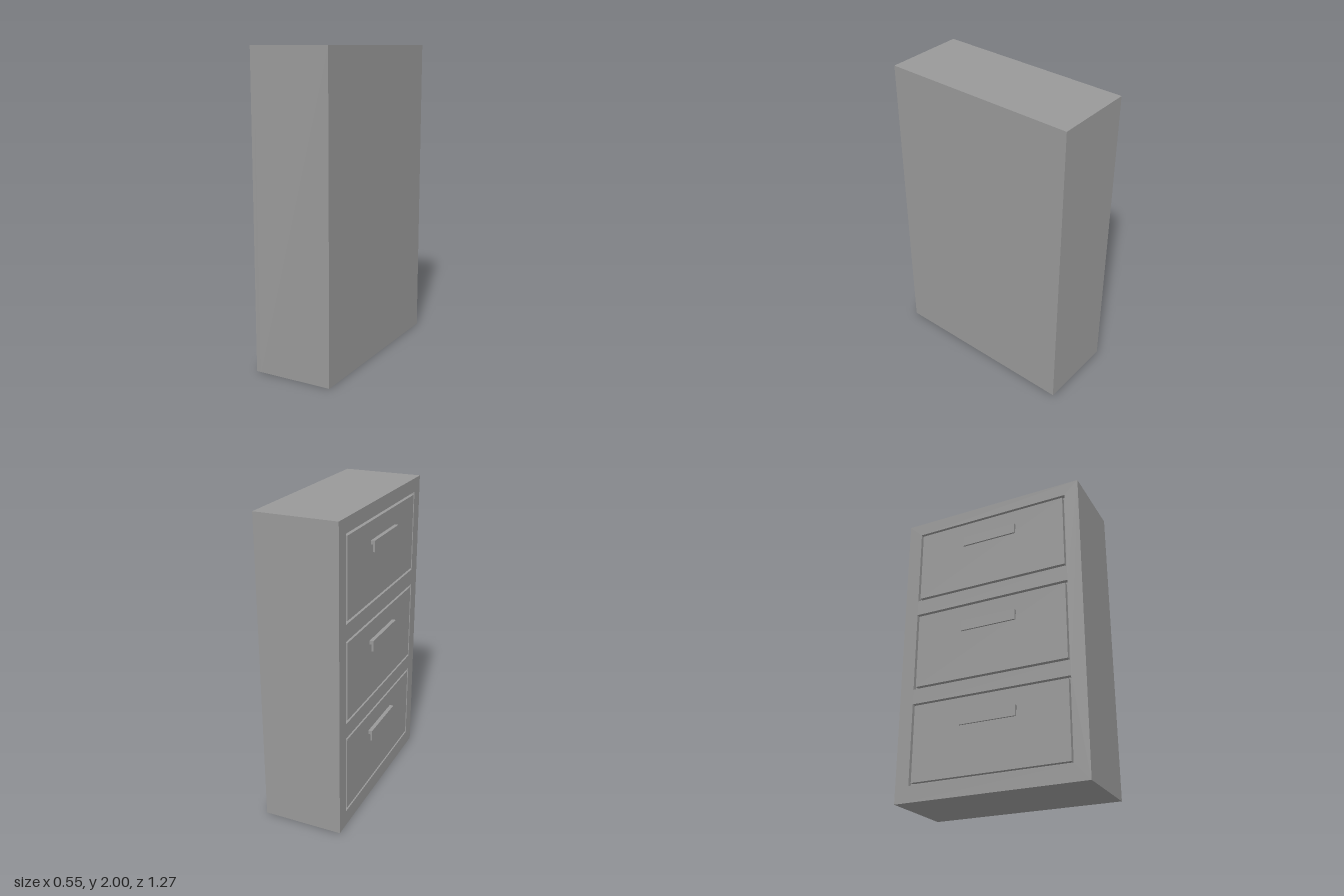
import * as THREE from 'three';

const FACE = -0.25;      // plane of the drawer side
const BACK = 0.273;
const HALF = 0.635;      // half width along z
const GROOVE = 0.03;     // depth of the gap around each drawer
const GAP = 0.016;       // width of that gap
const OPENING = 0.54;    // half width of a drawer opening

// bottom and top of each opening, and top of its handle
const drawers = [
  { y0: 0.105, y1: 0.635, handle: 0.505 },
  { y0: 0.735, y1: 1.275, handle: 1.142 },
  { y0: 1.38, y1: 1.911, handle: 1.78 },
];

function rectangle(path, half, y0, y1) {
  path.moveTo(-half, y0);
  path.lineTo(half, y0);
  path.lineTo(half, y1);
  path.lineTo(-half, y1);
  path.closePath();
  return path;
}

export function createModel() {
  const cabinet = new THREE.Group();
  cabinet.name = 'filingCabinet';
  const greyMetal = new THREE.MeshStandardMaterial({ color: 0x999999 });
  greyMetal.name = 'greyMetal';

  // box between two corners
  function addBox(parent, name, [x0, y0, z0], [x1, y1, z1]) {
    const mesh = new THREE.Mesh(new THREE.BoxGeometry(x1 - x0, y1 - y0, z1 - z0), greyMetal);
    mesh.position.set((x0 + x1) / 2, (y0 + y1) / 2, (z0 + z1) / 2);
    mesh.name = name;
    parent.add(mesh);
  }

  // carcass
  addBox(cabinet, 'carcass', [FACE + GROOVE, 0, -HALF], [BACK, 2, HALF]);

  // face frame with one opening per drawer, extruded towards -x
  const outline = rectangle(new THREE.Shape(), HALF, 0, 2);
  for (const d of drawers) outline.holes.push(rectangle(new THREE.Path(), OPENING, d.y0, d.y1));
  const frame = new THREE.Mesh(
    new THREE.ExtrudeGeometry(outline, { depth: GROOVE, bevelEnabled: false }), greyMetal);
  frame.rotation.y = -Math.PI / 2;
  frame.position.x = FACE + GROOVE;
  frame.name = 'faceFrame';
  cabinet.add(frame);

  // flush drawer fronts, each with a hooked pull
  const pull = new THREE.Shape([
    [0, 0], [-0.025, 0], [-0.025, -0.07], [-0.014, -0.07], [-0.014, -0.025], [0, -0.025],
  ].map(([x, y]) => new THREE.Vector2(x, y)));
  const pullGeometry = new THREE.ExtrudeGeometry(pull, { depth: 0.38, bevelEnabled: false });
  for (const d of drawers) {
    const drawer = new THREE.Group();
    drawer.name = 'drawer';
    const half = OPENING - GAP;
    addBox(drawer, 'drawerFront', [FACE, d.y0 + GAP, -half], [FACE + GROOVE, d.y1 - GAP, half]);
    const handle = new THREE.Mesh(pullGeometry, greyMetal);
    handle.position.set(FACE, d.handle, -0.19);
    handle.name = 'handle';
    drawer.add(handle);
    cabinet.add(drawer);
  }
  return cabinet;
}
